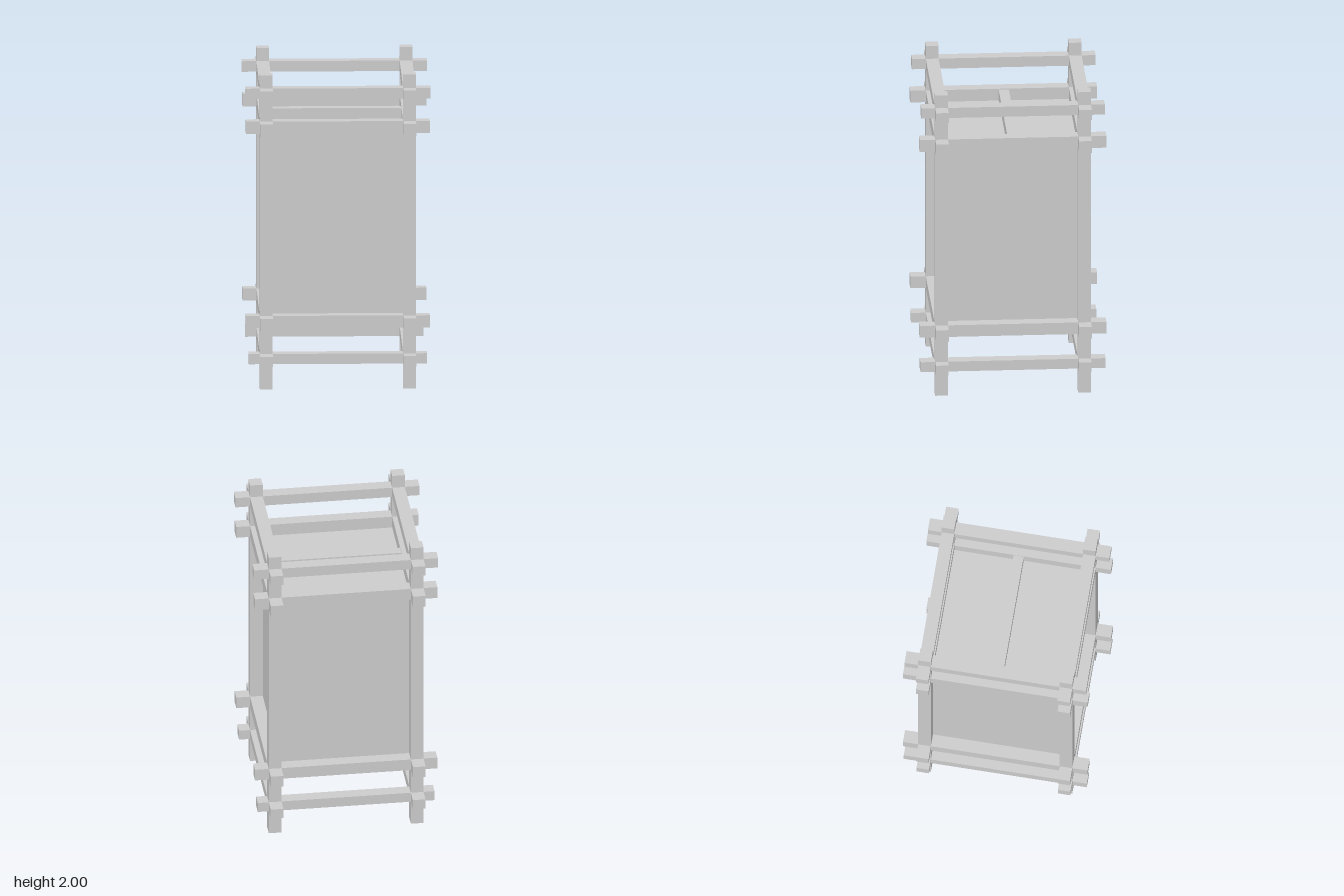
import * as THREE from 'three';

export function createModel() {
  const group = new THREE.Group();
  const material = new THREE.MeshStandardMaterial({ color: 0xcccccc, flatShading: true });
  const offset = 0.448; // distance of posts and rails from the centre
  const thick = 0.08;

  // Box spanning y0 to y1, centred on x and z
  function addBox(name, width, y0, y1, depth, x = 0, z = 0) {
    const mesh = new THREE.Mesh(new THREE.BoxGeometry(width, y1 - y0, depth), material);
    mesh.position.set(x, (y0 + y1) / 2, z);
    mesh.name = name;
    group.add(mesh);
  }

  // Four corner posts
  for (const sx of [-1, 1])
    for (const sz of [-1, 1])
      addBox('cornerPost', thick, 0, 2, thick, sx * offset, sz * offset);

  // Four tiers of crossing rails whose ends run past the posts
  const tiers = [
    { name: 'footRail', y0: 0.16, y1: 0.225, lengthX: 1.115, lengthZ: 1.16 },
    { name: 'lowerRail', y0: 0.39, y1: 0.467, lengthX: 1.15, lengthZ: 1.17 },
    { name: 'upperRail', y0: 1.627, y1: 1.705, lengthX: 1.15, lengthZ: 1.17 },
    { name: 'topRail', y0: 1.848, y1: 1.915, lengthX: 1.16, lengthZ: 1.15 },
  ];
  for (const t of tiers)
    for (const s of [-1, 1]) {
      addBox(t.name, t.lengthX, t.y0, t.y1, thick, 0, s * offset);
      addBox(t.name, thick, t.y0, t.y1, t.lengthZ, s * offset, 0);
    }

  // Shade body set between the posts
  addBox('shadeBody', 0.816, 0.467, 1.627, 0.816);

  // Bar across the top of the shade
  addBox('crossBar', 0.82, 1.627, 1.7, 0.064);

  return group;
}
